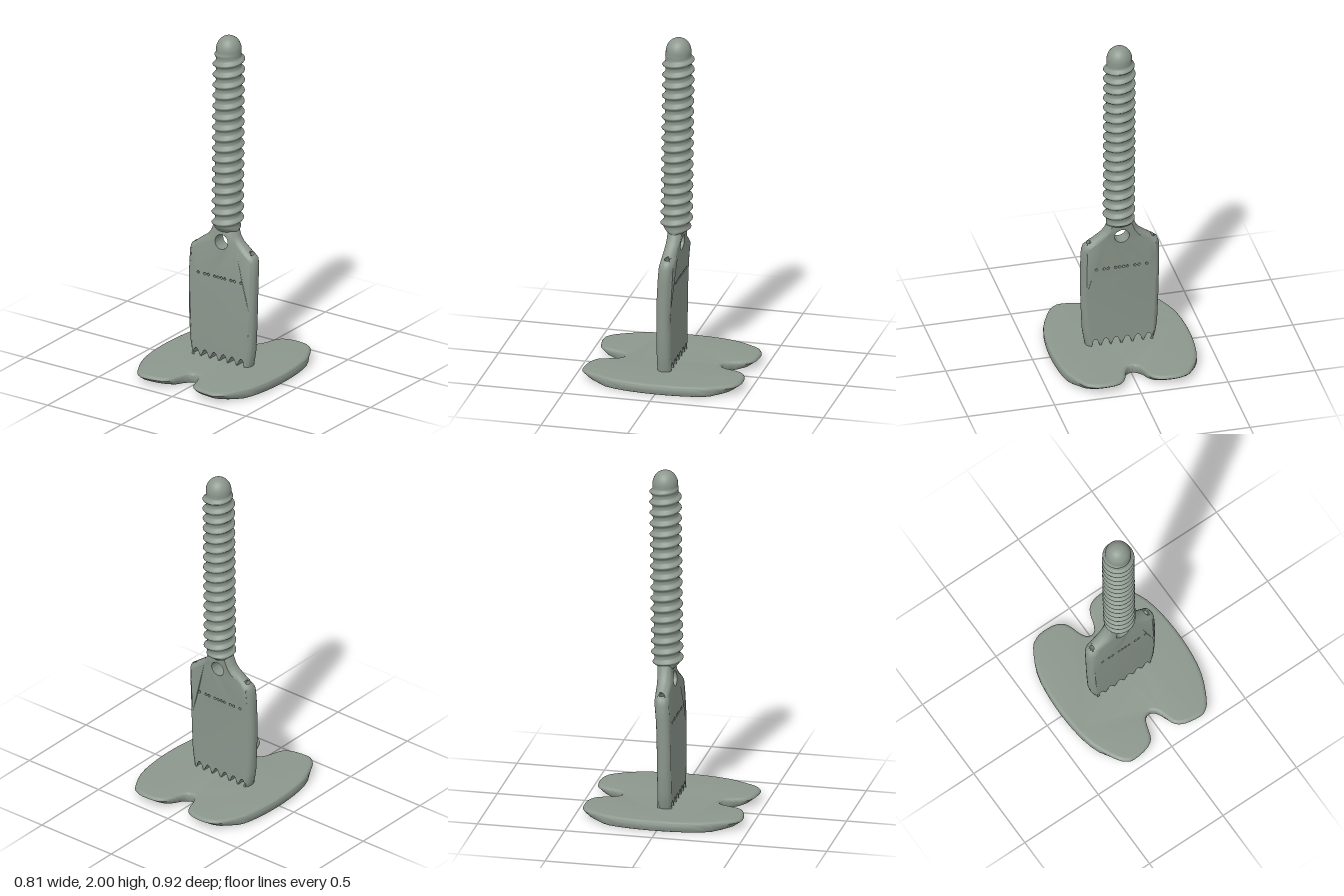
import * as THREE from 'three';
import { mergeVertices, toCreasedNormals } from 'three/addons/utils/BufferGeometryUtils.js';

const material = new THREE.MeshStandardMaterial({ color: 0x8c978d, side: THREE.DoubleSide });
material.name = 'grey green';

const vectors = (list) => list.map(([x, y]) => new THREE.Vector2(x, y));

// Apply a rule to every vertex of a geometry
function moveVertices(geometry, rule) {
  const p = geometry.attributes.position;
  const v = new THREE.Vector3();
  for (let i = 0; i < p.count; i++) {
    rule(v.fromBufferAttribute(p, i));
    p.setXYZ(i, v.x, v.y, v.z);
  }
  return geometry;
}

function addMesh(parent, name, geometry) {
  const mesh = new THREE.Mesh(geometry, material);
  mesh.name = name;
  parent.add(mesh);
  return mesh;
}

// Two-lobed foot with a notch at front and back
function footGeometry() {
  const half = [[0.028, -0.298], [0.05, -0.34], [0.065, -0.39], [0.09, -0.43], [0.13, -0.452],
    [0.18, -0.459], [0.23, -0.457], [0.27, -0.443], [0.31, -0.41], [0.375, -0.28], [0.402, -0.11],
    [0.402, 0.08], [0.375, 0.25], [0.31, 0.395], [0.265, 0.445], [0.22, 0.457], [0.13, 0.443],
    [0.08, 0.41], [0.06, 0.36], [0.045, 0.315], [0.028, 0.287]];
  const mirrored = half.map(([x, z]) => [-x, z]).reverse();
  const outline = [[0, -0.285], ...half, [0, 0.275], ...mirrored, [0, -0.285]];
  const points = new THREE.SplineCurve(vectors(outline)).getPoints(132).slice(0, -1);
  const geometry = new THREE.ExtrudeGeometry(new THREE.Shape(points), {
    depth: 0.026, bevelEnabled: true, bevelThickness: 0.017, bevelSize: 0.02,
    bevelOffset: -0.02, bevelSegments: 4,
  });
  geometry.rotateX(Math.PI / 2).translate(0, 0.043, 0);
  // Undercut the lobe ends so the underside slopes up
  moveVertices(geometry, (v) => {
    const over = Math.abs(v.z) - 0.3;
    if (over > 0 && v.y < 0.03) v.z = Math.sign(v.z) * (0.3 + over * (0.45 + 0.55 * v.y / 0.03));
  });
  return toCreasedNormals(geometry, 0.7);
}

// Backward lean of the blade at height y
const lean = (y) => -0.03 * Math.min(1, Math.max(0, (y - 0.35) / 0.5)) ** 2;

const PORT = { x: 0.185, y: 0.735, nx: 0.592, ny: 0.806 };

// Flat blade with teeth, an eyelet and a row of pinholes
function bladeGeometry() {
  const outline = [[-0.19, 0.05]];
  for (const x of [-0.158, -0.097, -0.035, 0.028, 0.087, 0.148]) {
    for (const [dx, y] of [[-0.026, 0.05], [-0.026, 0.068], [-0.018, 0.08], [-0.011, 0.096], [0, 0.103],
      [0.011, 0.096], [0.018, 0.08], [0.026, 0.068], [0.026, 0.05]]) outline.push([x + dx, y]);
  }
  const side = [[0.196, 0.05], [0.206, 0.1], [0.215, 0.16], [0.221, 0.3], [0.224, 0.4], [0.225, 0.5],
    [0.225, 0.6], [0.223, 0.68], [0.212, 0.715], [0.1963, 0.7267], [0.1737, 0.7433],
    [0.11, 0.79], [0.088, 0.82], [0.07, 0.87]];
  outline.push(...side, ...side.slice(1).map(([x, y]) => [-x, y]).reverse());
  const shape = new THREE.Shape(vectors(outline));
  const hole = (x, y, r) => shape.holes.push(new THREE.Path().absarc(x, y, r, 0, Math.PI * 2, true));
  hole(0, 0.77, 0.043);
  for (const x of [-0.147, -0.102, -0.078, -0.035, -0.013, 0.01, 0.033, 0.075, 0.098, 0.143]) hole(x, 0.56, 0.008);

  const solid = new THREE.ExtrudeGeometry(shape, { depth: 0.08, steps: 8, bevelEnabled: false, curveSegments: 18 });
  solid.translate(0, 0, -0.04);

  // Open the shoulder wall where the side ports sit
  const p = solid.attributes.position;
  const kept = [];
  const near = (i) => Math.hypot(Math.abs(p.getX(i)) - PORT.x, p.getY(i) - PORT.y, p.getZ(i)) < 0.027;
  for (let i = 0; i < p.count; i += 3) {
    if (near(i) && near(i + 1) && near(i + 2)) continue;
    for (let k = i; k < i + 3; k++) kept.push(p.getX(k), p.getY(k), p.getZ(k));
  }
  const geometry = new THREE.BufferGeometry();
  geometry.setAttribute('position', new THREE.Float32BufferAttribute(kept, 3));

  // Round the outer edge, then lean the blade
  moveVertices(geometry, (v) => {
    const inset = 0.025 * Math.abs(v.z / 0.04) ** 3;
    const y = v.y;
    if (y > 0.7 && Math.abs(v.x) > 0.06) {
      v.x -= Math.sign(v.x) * inset * PORT.nx;
      v.y -= inset * PORT.ny;
    } else if (Math.abs(v.x) > 0.185) v.x -= Math.sign(v.x) * inset;
    v.z += lean(y);
  });
  return toCreasedNormals(geometry, 0.7);
}

// Blind round hole in each shoulder
function addPort(parent, s) {
  const group = new THREE.Group();
  group.name = s > 0 ? 'leftPort' : 'rightPort';
  const face = new THREE.Shape(vectors([[-0.014, -0.02], [0.014, -0.02], [0.014, 0.02], [-0.014, 0.02]]));
  face.holes.push(new THREE.Path().absellipse(0, 0, 0.0115, 0.016, 0, Math.PI * 2, true));
  addMesh(group, 'portRim', new THREE.ShapeGeometry(face, 16).rotateX(-Math.PI / 2));
  const bore = new THREE.LatheGeometry(vectors([[0.0115, 0], [0.0115, -0.06], [0, -0.06]]), 20);
  addMesh(group, 'portBore', bore.scale(1, 1, 0.016 / 0.0115));
  group.rotation.z = -s * Math.atan2(PORT.nx, PORT.ny);
  group.position.set(s * (PORT.x - 0.001), PORT.y - 0.0015, lean(PORT.y));
  parent.add(group);
}

// Threaded shaft with a flared neck and a domed tip
function shaftGeometry() {
  const bottom = 0.82, top = 2, pitch = 0.0635, core = 0.072;
  const smooth = THREE.MathUtils.smoothstep;
  const geometry = new THREE.CylinderGeometry(1, 1, top - bottom, 36, 250, true);
  geometry.translate(0, (top + bottom) / 2, 0);
  geometry.deleteAttribute('uv');
  geometry.deleteAttribute('normal');
  moveVertices(geometry, (v) => {
    const angle = Math.atan2(v.x, v.z);
    const y = v.y;
    const wave = 0.5 + 0.5 * Math.cos(2 * Math.PI * y / pitch - angle);
    const fade = smooth(y, 0.84, 0.88) * (1 - smooth(y, 1.87, 1.91));
    let r = core + 0.019 * fade * wave ** 2;
    // Tip
    if (y > 1.92) r *= Math.sqrt(Math.max(0, 1 - ((y - 1.92) / 0.08) ** 2));
    // Neck flattens toward the blade
    const neck = 1 - smooth(y, 0.82, 0.87);
    v.x = Math.sin(angle) * (r + 0.01 * neck) + 0.01 * (1 - neck);
    v.z = Math.cos(angle) * (r - 0.036 * neck) - 0.028 - 0.013 * (y - 0.82) / 1.18;
  });
  const merged = mergeVertices(geometry, 1e-5);
  merged.computeVertexNormals();
  return merged;
}

export function createModel() {
  const model = new THREE.Group();
  model.name = 'threadedStemOnFoot';
  addMesh(model, 'foot', footGeometry());
  addMesh(model, 'blade', bladeGeometry());
  addPort(model, 1);
  addPort(model, -1);
  addMesh(model, 'threadedShaft', shaftGeometry());
  return model;
}
